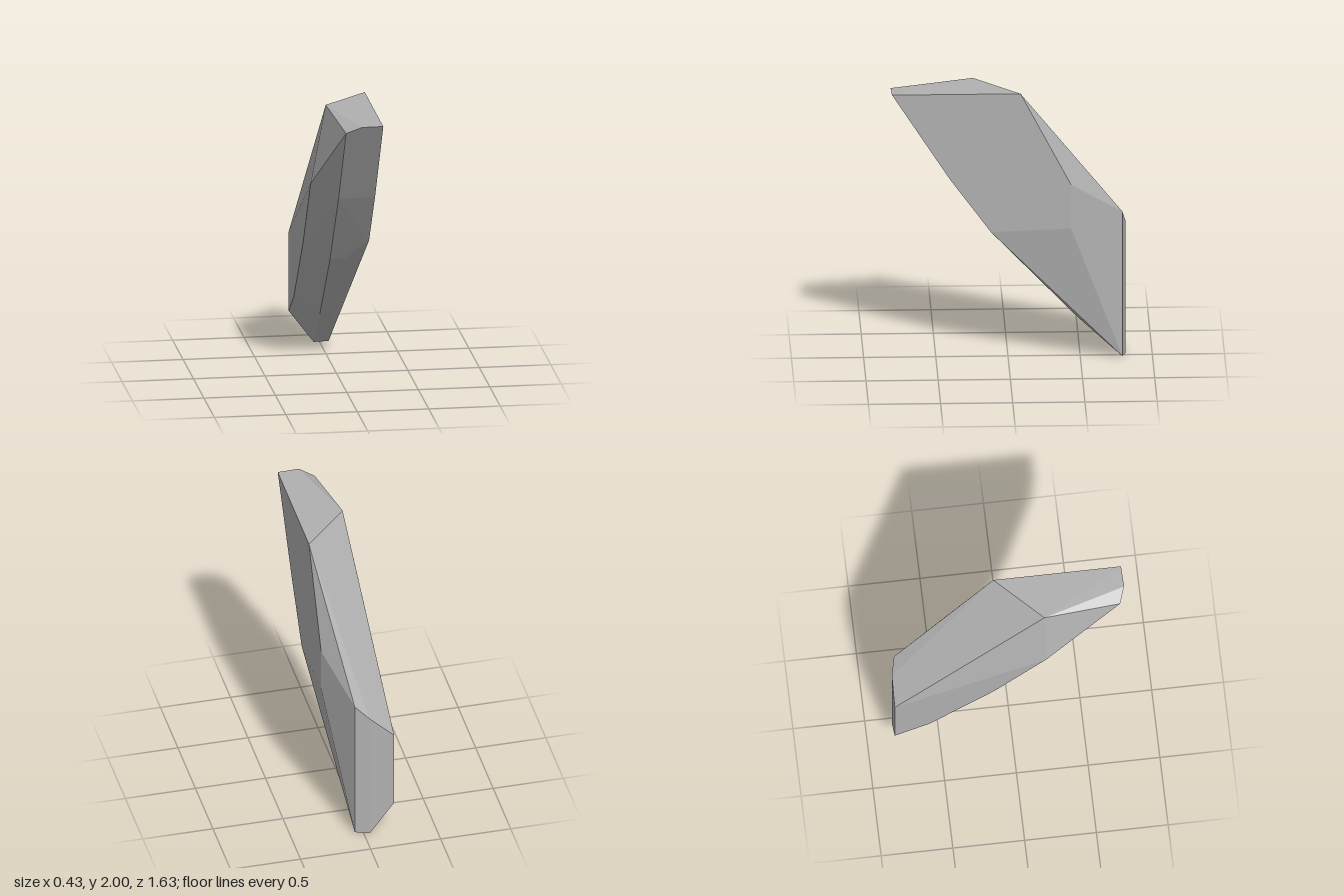
import * as THREE from 'three';
import { ConvexGeometry } from 'three/addons/geometries/ConvexGeometry.js';

// A leaning, faceted stone shard: the convex hull of its corners.
const corners = [
  // slanted-off top
  [-0.11, 2.0, 0.24], [0.21, 1.99, -0.08], [0.21, 1.99, 0.81], [0.06, 1.99, 0.815], [-0.045, 1.94, 0.775],
  // flat +x side
  [0.21, 1.32, -0.43], [0.21, 1.0, -0.43], [0.21, 0.98, 0.125], [0.21, 1.37, 0.41],
  // back edges, upper and lower ends
  [0.06, 1.07, -0.79], [0.06, 0.01, -0.79],
  [-0.04, 0.97, -0.815], [-0.04, 0, -0.815],
  [-0.215, 0.8, -0.815], [-0.215, 0.23, -0.815],
  // flat -x side, curving down the front
  [-0.215, 1.44, 0.24], [-0.215, 0.92, -0.12], [-0.215, 0.4, -0.57],
  // narrow front ridge
  [-0.045, 1.37, 0.41], [0.06, 0.82, 0], [-0.045, 0.82, 0], [0.06, 0.3, -0.48], [-0.045, 0.3, -0.48],
];

export function createModel() {
  const stone = new THREE.MeshStandardMaterial({ color: 0xb0b0b0 });
  stone.name = 'stone grey';

  const points = corners.map(([x, y, z]) => new THREE.Vector3(x, y, z));
  const shard = new THREE.Mesh(new ConvexGeometry(points), stone);
  shard.name = 'rockShard';

  const model = new THREE.Group();
  model.name = 'rock';
  model.add(shard);
  return model;
}
